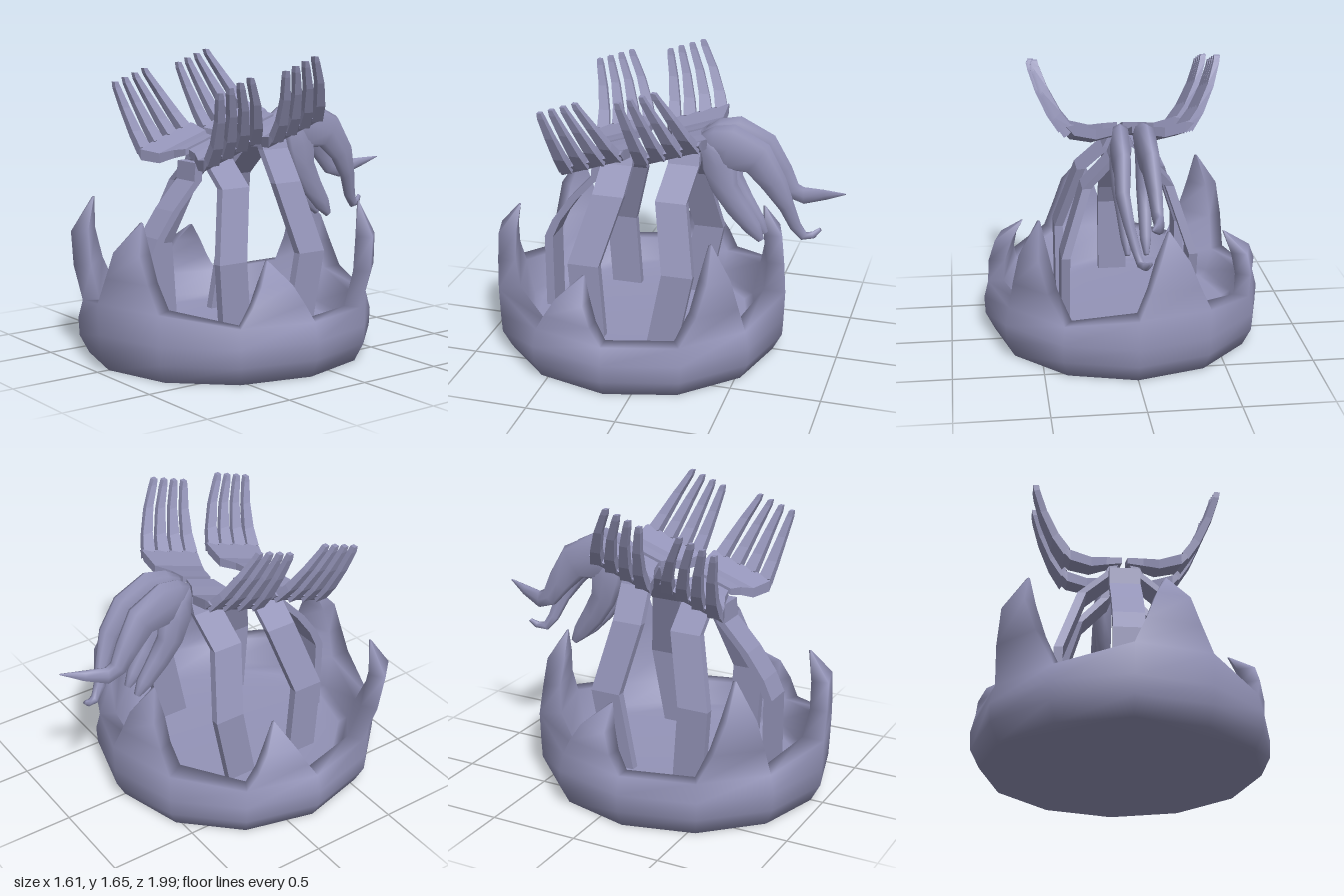
import * as THREE from 'three';
import { mergeGeometries, mergeVertices } from 'three/addons/utils/BufferGeometryUtils.js';

const COLOR = 0x9494b8;
const smooth = new THREE.MeshStandardMaterial({ color: COLOR });
const faceted = new THREE.MeshStandardMaterial({ color: COLOR, flatShading: true });

// Skin a list of equal-length cross-section loops and close both ends
function loft(loops) {
  const n = loops[0].length, last = (loops.length - 1) * n;
  const pos = loops.flat(2), index = [];
  for (let s = 0; s < last; s += n) {
    for (let i = 0; i < n; i++) {
      const a = s + i, b = s + (i + 1) % n;
      index.push(a, b, b + n, a, b + n, a + n);
    }
  }
  for (let i = 1; i < n - 1; i++) index.push(0, i + 1, i, last, last + i, last + i + 1);
  // Turn the faces outward when the enclosed volume comes out negative
  const v = i => new THREE.Vector3().fromArray(pos, i * 3);
  let volume = 0;
  for (let i = 0; i < index.length; i += 3) {
    volume += v(index[i]).dot(v(index[i + 1]).cross(v(index[i + 2])));
  }
  if (volume < 0) index.reverse();
  const g = new THREE.BufferGeometry();
  g.setAttribute('position', new THREE.Float32BufferAttribute(pos, 3));
  g.setIndex(index);
  return g;
}

function part(name, geometry, material) {
  geometry.computeVertexNormals();
  const mesh = new THREE.Mesh(geometry, material);
  mesh.name = name;
  return mesh;
}

// Point on the slightly oval basin, angle in degrees from the front
const CZ = 0.15;
function polar(r, deg, y) {
  const a = deg * Math.PI / 180;
  return [r * Math.sin(a), y, CZ + r * 1.04 * Math.cos(a)];
}

// The rim is higher and wider at the front and back thorns
const RIM_IN = 0.69;
const rimIsHigh = i => i % 6 < 2;
const rimY = i => (rimIsHigh(i) ? 0.37 : 0.3);
const rimOut = i => (rimIsHigh(i) ? 0.81 : 0.78);

function basinShell() {
  const ring = (radius, height) => Array.from({ length: 12 }, (_, i) => polar(radius(i), i * 30, height(i)));
  const level = (r, y) => ring(() => r, () => y);
  return loft([level(0.75, 0), level(0.8, 0.1), level(0.805, 0.2), ring(rimOut, rimY),
    ring(() => RIM_IN, rimY), level(0.65, 0.17), level(0.6, 0.14)]);
}

// Curved thorn growing out of the rim edge that starts at rim corner i
function thorn(i, top, midR, tipR, midHalf) {
  const deg = i * 30 + 15, base = rimY(i), h = top - base;
  const section = (y, outer, inner, half) => [
    polar(outer, deg - half, y), polar(outer, deg + half, y),
    polar(inner, deg + half, y), polar(inner, deg - half, y)];
  return loft([
    section(base, rimOut(i), RIM_IN, 15),
    section(base + h * 0.33, midR * 0.5 + 0.41, midR * 0.5 + 0.315, midHalf + 4),
    section(base + h * 0.66, midR + 0.01, midR - 0.085, midHalf),
    section(top, tipR + 0.005, tipR - 0.005, 0.5),
  ]);
}

// Basin and thorns are welded so the shading runs on from one to the other
function thornedBasin() {
  const pieces = [basinShell(),
    thorn(0, 0.81, 0.78, 0.67, 6.5), thorn(2, 0.61, 0.73, 0.59, 6.5), thorn(4, 0.85, 0.8, 0.72, 5),
    thorn(6, 0.81, 0.76, 0.67, 6.5), thorn(8, 0.61, 0.73, 0.59, 6.5), thorn(10, 0.85, 0.84, 0.74, 5.5)];
  return part('thornedBasin', mergeVertices(mergeGeometries(pieces), 1e-4), smooth);
}

// Bent flat strut: points are [x, y, z], hx and hz its half sizes
function strut(name, points, hx, hz) {
  return part(name, loft(points.map(([x, y, z]) => [
    [x - hx, y, z - hz], [x + hx, y, z - hz], [x + hx, y, z + hz], [x - hx, y, z + hz]])), faceted);
}

// Fork: tilted palm with four curved tines, side is +1 or -1
function fork(side) {
  const group = new THREE.Group();
  group.name = 'fork';
  const slopeY = z => 1.16 + (0.07 - z) * 0.35;
  // palm rows: x, back z, front z, lift, thickness, inset of the top edge
  const rows = [[0.016, -0.2, -0.02, 0.015, 0.035, 0], [0.1, -0.22, 0, 0, 0.045, 0],
    [0.185, -0.272, 0.04, -0.02, 0.055, 0], [0.3, -0.272, 0.085, 0.005, 0.06, 0],
    [0.345, -0.268, 0.087, 0.055, 0.015, 0.025]];
  group.add(part('forkPalm', loft(rows.map(([x, z0, z1, lift, t, inset]) => [
    [side * x, slopeY(z0) + lift, z0], [side * x, slopeY(z1) + lift, z1],
    [side * (x - inset), slopeY(z1) + lift + t, z1], [side * (x - inset), slopeY(z0) + lift + t, z0]])), faceted));
  // tine stations: x, fraction of rise, fraction of sideways lean, half width
  const stations = [[0.32, 0.1, 0, 0.037], [0.385, 0.32, 0.2, 0.031], [0.45, 0.64, 0.55, 0.024],
    [0.49, 0.92, 0.92, 0.018], [0.497, 1, 1, 0.012]];
  for (let i = 0; i < 4; i++) {
    const rootZ = -0.23 + i * 0.093, tipZ = -0.07 + i * 0.065;
    const rootY = slopeY(rootZ), tipY = 1.655 - i * 0.023;
    group.add(part('tine', loft(stations.map(([x, f, lean, w]) => {
      const z = rootZ + (tipZ - rootZ) * lean, y = rootY + (tipY - rootY) * f;
      const tx = 0.016, ty = 0.022 * (1 - f);
      return [[side * (x + tx), y - ty, z - w], [side * (x + tx), y - ty, z + w],
        [side * (x - tx), y + ty, z + w], [side * (x - tx), y + ty, z - w]];
    })), faceted));
  }
  return group;
}

// Flattened horn with a boxy section: points are [x, y, z, half depth in the bend plane, half width in x]
function horn(name, points) {
  return part(name, loft(points.map(([x, y, z, d, w], i) => {
    const p = points[Math.max(i - 1, 0)], q = points[Math.min(i + 1, points.length - 1)];
    const dy = q[1] - p[1], dz = q[2] - p[2], len = Math.hypot(dy, dz);
    return Array.from({ length: 8 }, (_, k) => {
      const a = k * Math.PI / 4, boxy = k % 2 ? 1.13 : 1;
      const u = d * boxy * Math.cos(a);
      return [x + w * boxy * Math.sin(a), y + u * dz / len, z - u * dy / len];
    });
  })), smooth);
}

export function createModel() {
  const model = new THREE.Group();
  model.name = 'thornedForkStand';
  model.add(thornedBasin());

  // Front strut and the two pairs of side struts
  model.add(strut('frontLeg', [[0, 0.12, 0.69], [0, 0.58, 0.69], [0, 0.69, 0.64], [0, 0.83, 0.54],
    [0, 0.98, 0.4], [0, 1.08, 0.39]], 0.085, 0.025));
  for (const s of [1, -1]) {
    model.add(strut('sideLeg', [[s * 0.355, 0.12, 0.35], [s * 0.355, 0.57, 0.38], [s * 0.23, 0.95, 0.27],
      [s * 0.08, 1.08, 0.265], [s * 0.05, 1.14, 0.265]], 0.024, 0.09));
    model.add(strut('rearLeg', [[s * 0.355, 0.12, -0.07], [s * 0.355, 0.57, -0.16], [s * 0.23, 0.95, -0.09],
      [s * 0.08, 1.12, -0.12], [s * 0.05, 1.2, -0.12]], 0.024, 0.088));

    // Rear and front forks share one shape
    model.add(fork(s));
    const front = fork(s);
    front.position.set(0, -0.095, 0.43);
    model.add(front);

    // Short hanging horn of each rear lobe
    model.add(horn('shortHorn', [[s * 0.06, 1.28, -0.215, 0.03, 0.02], [s * 0.065, 1.23, -0.27, 0.07, 0.045],
      [s * 0.07, 1.13, -0.315, 0.1, 0.05], [s * 0.066, 1.0, -0.345, 0.078, 0.045],
      [s * 0.058, 0.88, -0.42, 0.068, 0.036], [s * 0.052, 0.77, -0.505, 0.05, 0.03],
      [s * 0.05, 0.7, -0.555, 0.02, 0.014]]));
  }

  // Long horns: one hooks down, the other sweeps back to a point
  const shoulder = s => [[s * 0.05, 1.25, -0.21, 0.05, 0.03], [s * 0.06, 1.25, -0.28, 0.1, 0.045],
    [s * 0.07, 1.24, -0.37, 0.135, 0.052], [s * 0.075, 1.19, -0.53, 0.105, 0.046], [s * 0.085, 1.06, -0.625, 0.075, 0.038]];
  model.add(horn('hookedHorn', [...shoulder(1), [0.06, 0.92, -0.695, 0.045, 0.03],
    [0.03, 0.8, -0.74, 0.034, 0.025], [0.01, 0.735, -0.785, 0.026, 0.02],
    [-0.01, 0.74, -0.835, 0.02, 0.016], [-0.03, 0.77, -0.87, 0.01, 0.01]]));
  model.add(horn('sweptHorn', [...shoulder(-1), [-0.09, 0.96, -0.69, 0.055, 0.03],
    [-0.09, 0.935, -0.76, 0.05, 0.025], [-0.06, 0.965, -0.88, 0.03, 0.018], [-0.02, 0.998, -1, 0.003, 0.004]]));
  return model;
}
